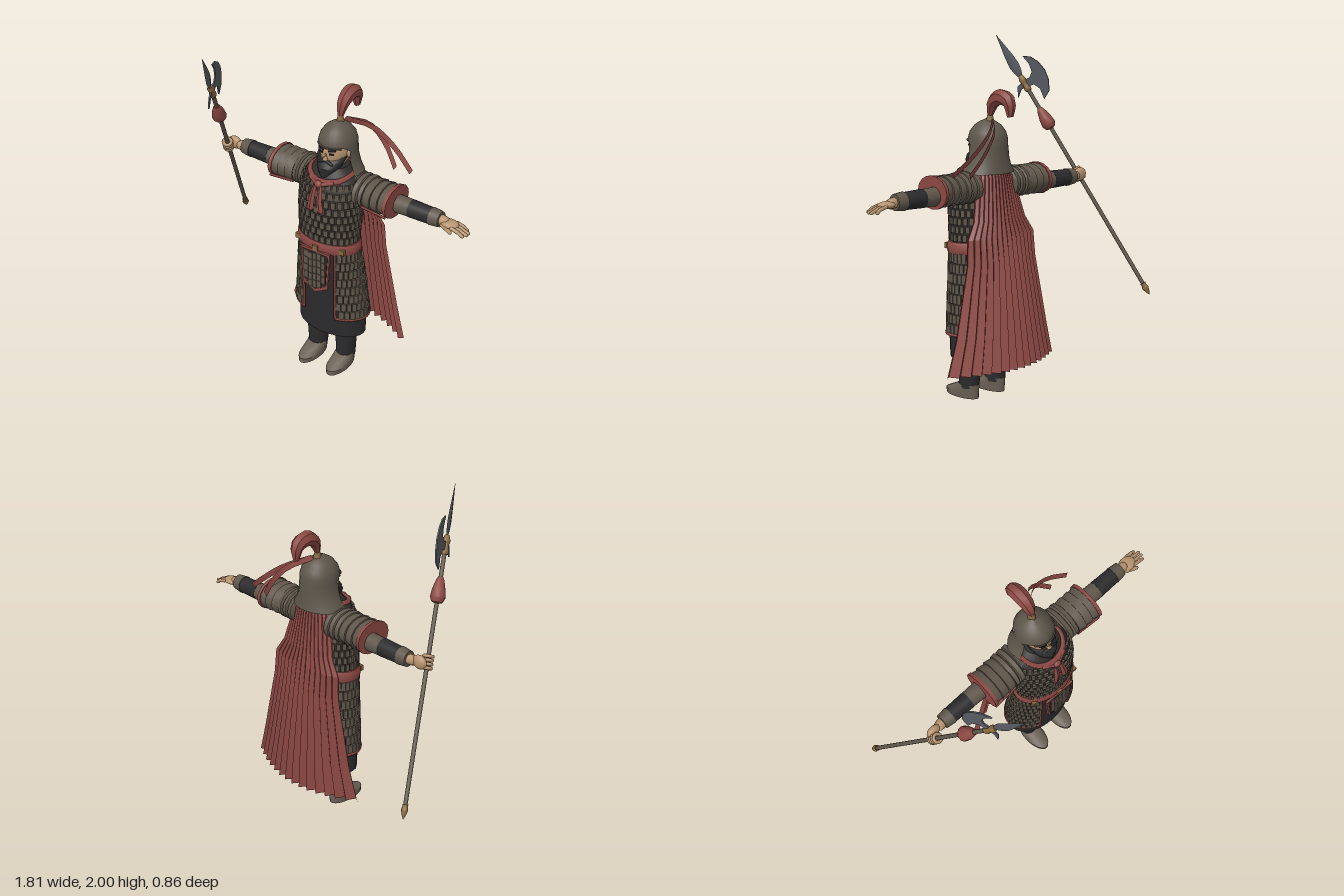
import * as THREE from 'three';
import { mergeGeometries, toCreasedNormals } from 'three/addons/utils/BufferGeometryUtils.js';

const V = (x, y, z) => new THREE.Vector3(x, y, z);
const mat = (name, color, side = THREE.FrontSide) => Object.assign(new THREE.MeshStandardMaterial({ color, side }), { name });
const TAU = Math.PI * 2;

// Skin a list of rings of points; closed rings get end caps.
function loft(rings, closed = true, crease = 0.6) {
  const n = rings[0].length, pos = rings.flat().flatMap(p => [p.x, p.y, p.z]), idx = [];
  for (let i = 0; i < rings.length - 1; i++) for (let j = 0; j < (closed ? n : n - 1); j++) {
    const a = i * n + j, b = i * n + (j + 1) % n, c = a + n, d = b + n;
    idx.push(a, b, c, b, d, c);
  }
  if (closed) [0, rings.length - 1].forEach((r, e) => {
    const c = pos.length / 3, m = V(0, 0, 0);
    rings[r].forEach(p => m.addScaledVector(p, 1 / n));
    pos.push(m.x, m.y, m.z);
    for (let j = 0; j < n; j++) {
      const a = r * n + j, b = r * n + (j + 1) % n;
      e ? idx.push(c, a, b) : idx.push(c, b, a);
    }
  });
  const g = new THREE.BufferGeometry();
  g.setAttribute('position', new THREE.Float32BufferAttribute(pos, 3));
  g.setIndex(idx);
  return toCreasedNormals(g, crease);
}
// Ring around the vertical axis; t = 0 faces the front.
const arc = (y, rx, zc, rz, t0 = 0, t1 = TAU, n = 24) => Array.from({ length: n }, (_, i) => {
  const t = t0 + (t1 - t0) * i / (t1 - t0 >= TAU - 1e-6 ? n : n - 1);
  return V(rx * Math.sin(t), y, zc + rz * Math.cos(t));
});
const stack = (profile, off = 0, x = 0) => loft(profile.map(([y, rx, zc, rz]) => arc(y, rx + off, zc, rz + off).map(p => p.setX(p.x + x))));
// Ring around the arm axis: [x, ry, rz, cy, cz]
const armRing = ([x, ry, rz, cy = 1.19, cz = -0.075]) => Array.from({ length: 16 }, (_, i) =>
  V(x, cy + ry * Math.cos(i / 16 * TAU), cz + rz * Math.sin(i / 16 * TAU)));
const armTube = (...r) => loft(r.map(armRing));
// Round tube of varying radius along a curve
function taper(points, radius, segs, sides, sx = 1) {
  const c = new THREE.CatmullRomCurve3(points), f = c.computeFrenetFrames(segs);
  return loft(Array.from({ length: segs + 1 }, (_, i) => Array.from({ length: sides }, (_, j) => {
    const a = j / sides * TAU, r = radius(i / segs);
    return c.getPointAt(i / segs).addScaledVector(f.normals[i], r * Math.cos(a)).addScaledVector(f.binormals[i], r * sx * Math.sin(a));
  })));
}
const tube = (pts, r, segs = 24, closed = false) => new THREE.TubeGeometry(new THREE.CatmullRomCurve3(pts, closed), segs, r, 5, closed);
const box = (w, h, d, x, y, z) => new THREE.BoxGeometry(w, h, d).translate(x, y, z);
const ball = (rx, ry, rz, x, y, z) => new THREE.SphereGeometry(1, 18, 12).scale(rx, ry, rz).translate(x, y, z);
function rod(p, q, r) {
  const d = q.clone().sub(p), g = new THREE.CapsuleGeometry(r, d.length(), 3, 8);
  return g.applyQuaternion(new THREE.Quaternion().setFromUnitVectors(V(0, 1, 0), d.normalize())).translate((p.x + q.x) / 2, (p.y + q.y) / 2, (p.z + q.z) / 2);
}
function mirrored(geo) {
  const g = geo.index ? geo.toNonIndexed() : geo.clone();
  g.scale(-1, 1, 1);
  for (const k of Object.values(g.attributes)) for (let i = 0; i < k.count; i += 3) for (let c = 0; c < k.itemSize; c++) {
    const t = k.getComponent(i, c);
    k.setComponent(i, c, k.getComponent(i + 2, c));
    k.setComponent(i + 2, c, t);
  }
  return g;
}
function at(profile, y) {
  let i = 0;
  while (i < profile.length - 2 && y > profile[i + 1][0]) i++;
  const a = profile[i], b = profile[i + 1], f = (y - a[0]) / (b[0] - a[0]);
  return a.map((v, k) => v + (b[k] - v) * f);
}
// Rows of small armour plates set around a profile
function plates(profile, y0, rows, step, h, n, fill, skip) {
  const out = [];
  for (let r = 0; r < rows; r++) for (let k = 0; k < n; k++) {
    const y = y0 + r * step, t = (k + (r % 2) / 2) / n * TAU, [, rx, zc, rz] = at(profile, y);
    const s = Math.sin(t), c = Math.cos(t);
    if (skip(rx * s, c)) continue;
    const w = Math.hypot(rx * c, rz * s) * TAU / n * fill;
    out.push(new THREE.BoxGeometry(w, h, 0.012).rotateY(Math.atan2(s / rx, c / rz)).translate((rx + 0.003) * s, y, zc + (rz + 0.003) * c));
  }
  return mergeGeometries(out);
}

export function createModel() {
  const root = new THREE.Group(), body = new THREE.Group();
  root.name = 'armouredWarrior'; body.name = 'body';
  body.position.x = 0.065;
  root.add(body);
  const D = THREE.DoubleSide;
  const brown = mat('armourBrown', 0x60574b), dark = mat('armourShadowBrown', 0x302c29, D), black = mat('blackCloth', 0x2b2b2d);
  const red = mat('redCloth', 0x8c4843, D), skin = mat('skin', 0xb8946f), helm = mat('helmetBronze', 0x5d564b, D);
  const steel = mat('steel', 0x565a61), gold = mat('brass', 0x86683f), boot = mat('bootLeather', 0x6b6155);
  const add = (name, geo, m, parent = body) => {
    const o = new THREE.Mesh(geo, m);
    o.name = name; parent.add(o);
    return o;
  };
  const pair = (name, geo, m) => { add(name + 'Left', geo, m); add(name + 'Right', mirrored(geo), m); };

  // Legs and boots
  pair('leg', stack([[0.06, 0.055, -0.02, 0.06], [0.16, 0.06, -0.02, 0.066], [0.4, 0.075, -0.02, 0.08]], 0, 0.1), black);
  pair('boot', stack([[0, 0.056, 0.037, 0.122], [0.03, 0.06, 0.037, 0.122], [0.058, 0.057, 0.005, 0.09], [0.08, 0.055, -0.018, 0.066]], 0, 0.1), boot);

  // Skirt, with armour panels open at the front
  const skirt = [[0.25, 0.23, -0.025, 0.14], [0.38, 0.235, -0.025, 0.145], [0.6, 0.215, -0.012, 0.138], [0.86, 0.185, 0.01, 0.125]];
  add('underSkirt', stack(skirt, -0.012), black);
  const open = y => Math.asin(0.108 / at(skirt, y)[1]);
  const ys = [0.39, 0.5, 0.6, 0.72, 0.85];
  const skirtRing = (y, off) => { const [, rx, zc, rz] = at(skirt, y), t = open(y); return arc(y, rx + off, zc, rz + off, t, TAU - t, 40); };
  add('skirtArmourBacking', loft(ys.map(y => skirtRing(y, 0)), false), dark);
  add('skirtPlates', plates(skirt, 0.42, 8, 0.056, 0.05, 38, 0.9, (x, c) => c > 0 && Math.abs(x) < 0.117), brown);
  add('skirtHem', tube(skirtRing(0.388, 0.004), 0.009, 60), red);
  pair('skirtEdge', tube(ys.map(y => skirtRing(y, 0.005)[0]), 0.008), red);

  // Pointed front apron
  const apron = (s, z, d) => {
    const sh = new THREE.Shape([[-0.1, 0.85], [-0.085, 0.61], [0, 0.56], [0.085, 0.61], [0.1, 0.85]].map(([x, y]) => new THREE.Vector2(x * s, 0.73 + (y - 0.73) * s)));
    return new THREE.ExtrudeGeometry(sh, { depth: d, bevelEnabled: false }).translate(0, 0, z);
  };
  add('apronBorder', apron(1, 0.138, 0.014), red);
  add('apronBacking', apron(0.87, 0.15, 0.005), dark);
  const ap = [];
  for (let r = 0; r < 5; r++) for (let k = -2; k <= 2; k++) {
    if (r === 0 && Math.abs(k) === 2) continue;
    ap.push(box(0.026, 0.043, 0.006, k * 0.029, 0.622 + r * 0.047 + (k % 2) * 0.006, 0.156));
  }
  add('apronPlates', mergeGeometries(ap), brown);

  // Torso with lamellar rows and belt
  const torso = [[0.84, 0.18, 0.01, 0.12], [0.95, 0.184, 0.01, 0.125], [1.1, 0.19, 0, 0.14], [1.2, 0.185, -0.008, 0.132], [1.28, 0.165, -0.02, 0.108], [1.34, 0.09, -0.03, 0.08]];
  add('torso', stack(torso), dark);
  add('torsoPlates', plates(torso, 0.925, 8, 0.047, 0.038, 30, 0.72, () => false), brown);
  add('belt', stack([[0.835, 0.198, 0.01, 0.132], [0.85, 0.203, 0.01, 0.137], [0.885, 0.201, 0.01, 0.136], [0.9, 0.194, 0.01, 0.13]]), red);
  add('beltStuds', mergeGeometries([-0.15, 0, 0.15].map(x => box(0.032, 0.032, 0.02, x, 0.866, 0.01 + 0.137 * Math.sqrt(1 - (x / 0.203) ** 2)))), gold);

  // Shoulders and arms
  for (let i = 0; i < 3; i++) {
    const x = 0.12 + i * 0.04;
    pair('shoulderBand' + (i + 1), armTube([x, 0.075, 0.095, 1.215, -0.06], [x + 0.01, 0.09, 0.113, 1.212, -0.06], [x + 0.035, 0.088, 0.11, 1.21, -0.06], [x + 0.045, 0.07, 0.09, 1.21, -0.06]), brown);
    const p = 0.235 + i * 0.05;
    pair('sleevePlate' + (i + 1), armTube([p, 0.078, 0.1, 1.21, -0.058], [p + 0.003, 0.082, 0.106, 1.21, -0.058], [p + 0.05, 0.088, 0.114, 1.21, -0.058], [p + 0.051, 0.06, 0.06, 1.2, -0.065]), brown);
    pair('sleeveSeam' + (i + 1), armTube([p - 0.004, 0.087, 0.112, 1.21, -0.058], [p, 0.087, 0.112, 1.21, -0.058]), dark);
  }
  pair('sleeveTrim', armTube([0.376, 0.091, 0.118, 1.21, -0.058], [0.396, 0.092, 0.12, 1.21, -0.058]), red);
  pair('sleeveFrontTrim', tube([V(0.23, 1.165, 0.04), V(0.31, 1.16, 0.043), V(0.39, 1.155, 0.046)], 0.008), red);
  pair('forearm', armTube([0.36, 0.054, 0.054], [0.485, 0.05, 0.05]), brown);
  pair('bracer', armTube([0.48, 0.052, 0.051], [0.615, 0.048, 0.047]), black);
  pair('cuff', armTube([0.61, 0.052, 0.05], [0.668, 0.045, 0.043]), brown);

  // Open left hand
  const hand = [rod(V(0.66, 1.19, -0.075), V(0.69, 1.186, -0.075), 0.03), ball(0.055, 0.02, 0.042, 0.72, 1.183, -0.075),
    rod(V(0.69, 1.178, -0.045), V(0.752, 1.165, -0.026), 0.011)];
  for (let i = 0; i < 4; i++) {
    const z = -0.109 + i * 0.022, e = 0.818 - (i === 0 ? 0.02 : 0) - (i === 3 ? 0.012 : 0);
    hand.push(rod(V(0.75, 1.181, z), V(0.79, 1.17, z - 0.001), 0.0105), rod(V(0.79, 1.17, z - 0.001), V(e + 0.012, 1.155, z - 0.002), 0.0095));
  }
  add('openHand', mergeGeometries(hand), skin);

  // Cape with pleats that deepen towards the hem: [y, half width, z middle, z edge, pleat]
  const cape = [[1.35, 0.1, -0.15, -0.07, 0], [1.26, 0.14, -0.172, -0.12, 0.003], [1.03, 0.195, -0.2, -0.155, 0.006], [0.94, 0.25, -0.215, -0.165, 0.008],
    [0.8, 0.258, -0.235, -0.17, 0.011], [0.4, 0.345, -0.275, -0.17, 0.016], [0.2, 0.402, -0.293, -0.16, 0.019]];
  add('cape', loft(cape.map(([y, w, zm, ze, f]) => Array.from({ length: 29 }, (_, j) => {
    const u = j / 14 - 1;
    return V(u * w, y, zm + (ze - zm) * u * u + (j % 2 ? f : -f));
  })), false, 0.25), red);

  // Scarf, knot and hanging tails
  add('scarf', tube(arc(1.3, 0.125, -0.015, 0.115).map(p => p.setY(1.3 - 0.22 * Math.max(0, p.z) + 0.04 * Math.max(0, -p.z))), 0.018, 40, true), red);
  add('scarfKnot', ball(0.027, 0.022, 0.022, 0, 1.265, 0.115), red);
  pair('scarfTail', loft([[0.006, 0.03, 1.26, 0.125], [0.006, 0.045, 1.18, 0.15], [0.012, 0.056, 1.11, 0.152]].map(([a, b, y, z]) => [V(a, y, z), V((a + b) / 2, y, z + 0.008), V(b, y, z)]), false), red);
  pair('scarfLoop', rod(V(0.02, 1.268, 0.112), V(0.07, 1.282, 0.09), 0.014), red);

  // Head, face and beard
  add('neck', new THREE.CylinderGeometry(0.055, 0.06, 0.1, 16).translate(0, 1.34, -0.045), skin);
  add('head', ball(0.083, 0.105, 0.098, 0, 1.415, -0.045), skin);
  add('nose', new THREE.ConeGeometry(0.016, 0.045, 6).translate(0, 1.413, 0.053), skin);
  pair('ear', ball(0.014, 0.025, 0.016, 0.083, 1.41, -0.05), skin);
  pair('eyebrow', new THREE.BoxGeometry(0.044, 0.008, 0.008).rotateZ(0.2).rotateY(0.35).translate(0.036, 1.448, 0.043), black);
  pair('eye', new THREE.BoxGeometry(0.026, 0.008, 0.008).rotateY(0.35).translate(0.034, 1.428, 0.046), black);
  const beard = [[1.29, 0.022, 0.06, 0.022], [1.31, 0.045, 0.035, 0.05], [1.345, 0.07, 0.015, 0.07], [1.375, 0.08, -0.005, 0.068], [1.4, 0.086, -0.035, 0.06]];
  add('beard', stack(beard), black);
  pair('moustache', rod(V(0.006, 1.386, 0.058), V(0.04, 1.368, 0.052), 0.009), black);

  // Helmet dome, flared neck guard and rivets
  const dome = [[1.4, 0.107, 0.115], [1.47, 0.107, 0.117], [1.51, 0.096, 0.105], [1.545, 0.07, 0.077], [1.565, 0.042, 0.046], [1.58, 0.01, 0.01]];
  add('helmet', loft(dome.map(([y, rx, rz], i) => arc(y, rx, -0.067, rz, 0, TAU, 28).map(p => i ? p : p.setY(1.4 + 0.062 * Math.max(0, Math.min(1, (p.z + 0.08) / 0.08))))).slice(0), false), helm);
  add('helmetSeam', loft(dome.map(([y, rx, rz], i) => arc(i ? y : 1.462, rx, -0.067, rz, -0.3, 0.001, 4)), false), helm);
  add('neckGuard', loft([[1.285, 0.158, 0.13], [1.33, 0.13, 0.122], [1.38, 0.113, 0.12], [1.43, 0.109, 0.118]].map(([y, rx, rz]) => arc(y, rx, -0.067, rz, 1.25, TAU - 1.25, 24)), false), helm);
  add('helmetRim', tube(arc(1.462, 0.108, -0.067, 0.119, -0.8, 0.8, 12), 0.005), helm);

  // Plume and streaming ribbons
  add('plumeSocket', new THREE.CylinderGeometry(0.012, 0.024, 0.045, 10).translate(0, 1.59, -0.085), gold);
  add('plume', taper([V(0, 1.6, -0.085), V(0, 1.67, -0.11), V(0, 1.705, -0.175), V(0, 1.68, -0.235), V(0, 1.6, -0.245)], t => 0.014 + 0.03 * Math.sin(Math.PI * Math.min(1, t * 0.95 + 0.02)), 10, 7), red);
  const ribbon = (name, pts) => {
    const c = new THREE.CatmullRomCurve3(pts);
    add(name, loft(c.getPoints(8).map(p => [p, p.clone().add(V(0.016, 0.026, -0.008))]), false), red);
  };
  ribbon('longRibbon', [V(0, 1.56, -0.11), V(0.12, 1.5, -0.21), V(0.25, 1.4, -0.235), V(0.375, 1.3, -0.21)]);
  ribbon('shortRibbon', [V(0, 1.56, -0.115), V(0.09, 1.505, -0.22), V(0.18, 1.4, -0.245), V(0.265, 1.285, -0.22)]);

  // Polearm: local y runs along the shaft, local x points to the axe blade
  const pole = new THREE.Group();
  pole.name = 'polearm';
  const a = V(0.445, 1.51, 0.86).normalize(), b0 = V(-0.35, 0, -0.9);
  const b = b0.addScaledVector(a, -b0.dot(a)).normalize();
  pole.quaternion.setFromRotationMatrix(new THREE.Matrix4().makeBasis(b, a, b.clone().cross(a)));
  pole.position.set(-0.54, 1.71, 0.265);
  root.add(pole);
  const lathe = pts => toCreasedNormals(new THREE.LatheGeometry(pts.map(p => new THREE.Vector2(...p)), 12), 0.6);
  const flat = (pts, d) => new THREE.ExtrudeGeometry(new THREE.Shape(pts.map(p => new THREE.Vector2(...p))), { depth: d, bevelEnabled: false }).translate(0, 0, -d / 2);
  add('shaft', new THREE.CylinderGeometry(0.012, 0.012, 1.42, 10).translate(0, -0.69, 0), brown, pole);
  add('buttCap', lathe([[0, -1.45], [0.01, -1.43], [0.02, -1.4], [0.014, -1.38], [0.017, -1.37], [0, -1.365]]), gold, pole);
  add('collar', lathe([[0, -0.045], [0.018, -0.045], [0.022, -0.03], [0.016, 0], [0.022, 0.03], [0.012, 0.06], [0, 0.06]]), gold, pole);
  add('tassel', lathe([[0, -0.31], [0.03, -0.3], [0.042, -0.275], [0.036, -0.23], [0.022, -0.18], [0.014, -0.165], [0, -0.165]]), red, pole);
  add('spearBlade', loft([[0.04, 0.01], [0.09, 0.027], [0.13, 0.034], [0.2, 0.026], [0.342, 0.001]].map(([y, w]) => [V(w, y, 0), V(0, y, -w * 0.25), V(-w, y, 0), V(0, y, w * 0.25)])), steel, pole);
  add('axeBlade', flat([[0, -0.02], [0.05, -0.03], [0.07, -0.07], [0.06, -0.135], [0.115, -0.11], [0.148, -0.05], [0.158, 0.01], [0.147, 0.07], [0.12, 0.12], [0.08, 0.147], [0.09, 0.09], [0.08, 0.04], [0.05, 0.02], [0, 0.025]], 0.008), steel, pole);
  add('backSpike', flat([[0, 0.02], [-0.05, 0.012], [-0.085, -0.045], [-0.04, -0.014], [0, -0.02]], 0.008), steel, pole);

  // Right hand gripping the shaft
  add('gripPalm', mergeGeometries([rod(V(-0.66, 1.19, -0.075), V(-0.69, 1.19, -0.07), 0.03), ball(0.045, 0.04, 0.024, -0.735, 1.195, -0.068)]), skin);
  const grip = [];
  for (let i = 0; i < 4; i++) grip.push(new THREE.TorusGeometry(0.023, 0.0105, 6, 14).rotateX(Math.PI / 2).translate(0, -0.65 + i * 0.021, 0));
  add('gripFingers', mergeGeometries(grip), skin, pole);
  return root;
}
